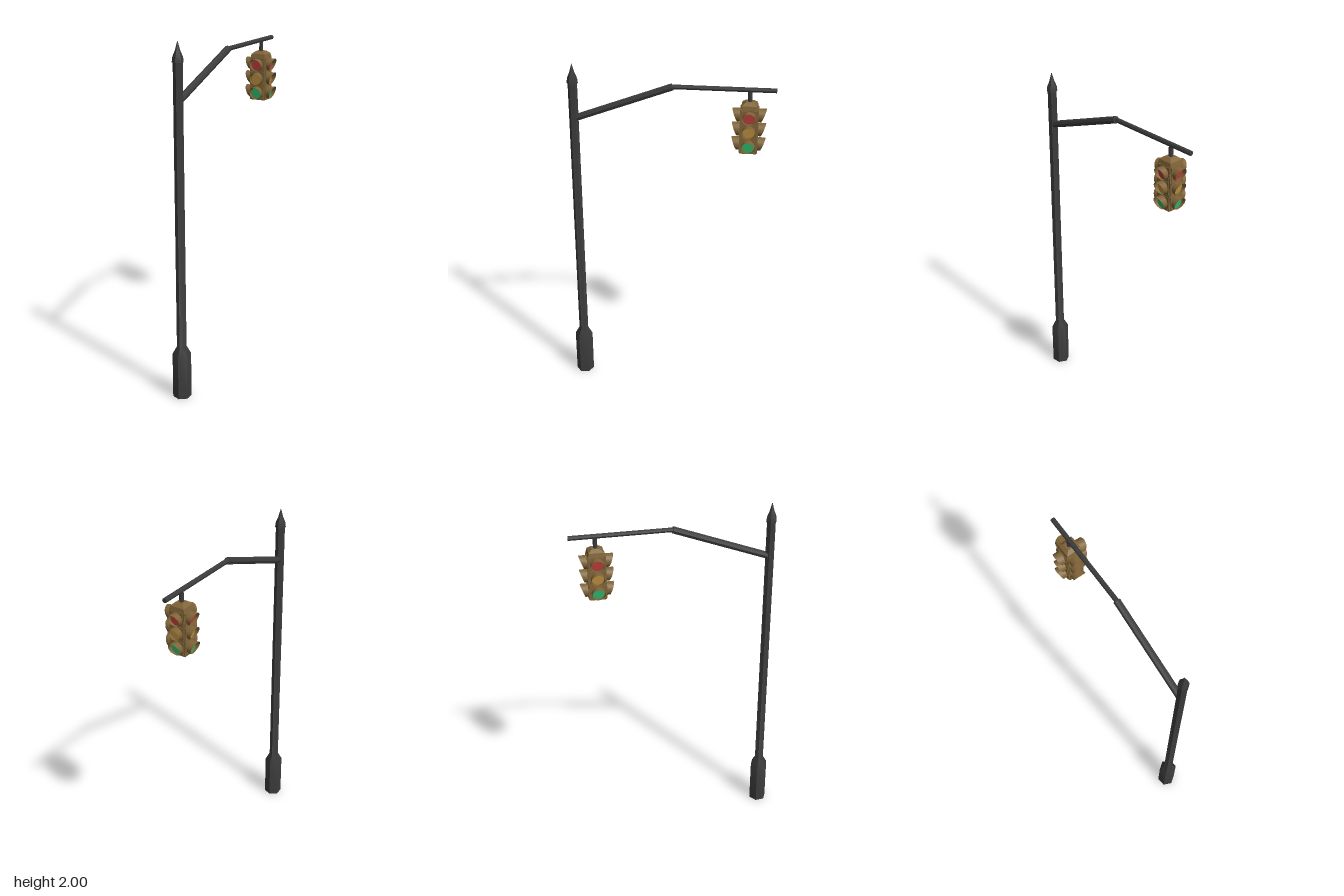
import * as THREE from 'three';
import { toCreasedNormals } from 'three/addons/utils/BufferGeometryUtils.js';

const mat = (name, color, side = THREE.FrontSide) => {
  const m = new THREE.MeshStandardMaterial({ color, side });
  m.name = name;
  return m;
};

export function createModel() {
  const iron = mat('dark iron', 0x3b3b3c);
  const ochre = mat('ochre housing', 0x806438, THREE.DoubleSide);
  const lampColours = [
    mat('red lens', 0xb23a3a), mat('amber lens', 0xb58a3c), mat('green lens', 0x2fae68),
  ];
  const root = new THREE.Group();
  root.name = 'trafficLight';

  const add = (parent, name, geo, material, x = 0, y = 0, z = 0) => {
    const m = new THREE.Mesh(toCreasedNormals(geo, 0.6), material);
    m.name = name;
    m.position.set(x, y, z);
    parent.add(m);
    return m;
  };
  const lathe = (points, sides, start) => new THREE.LatheGeometry(
    points.map(([r, y]) => new THREE.Vector2(r, y)), sides, start);

  // Six-sided post with heavy foot and pointed finial
  const postZ = 0.53, turn = 0.1;
  add(root, 'post', lathe([
    [0, 0], [0.052, 0], [0.052, 0.26], [0.027, 0.305], [0.026, 1.89], [0, 1.89],
  ], 6, turn), iron, 0, 0, postZ);
  add(root, 'finial', lathe([
    [0, 1.888], [0.031, 1.888], [0.028, 1.915], [0.014, 1.95], [0.01, 1.965], [0, 2],
  ], 6, turn), iron, 0, 0, postZ);

  // Bent arm: rising brace, then a thinner level bar
  const rod = (name, z1, y1, z2, y2, r) => {
    const a = new THREE.Vector3(0, y1, z1), b = new THREE.Vector3(0, y2, z2);
    const d = b.clone().sub(a);
    const m = add(root, name, new THREE.CylinderGeometry(r, r, d.length(), 8), iron);
    m.position.copy(a).add(b).multiplyScalar(0.5);
    m.quaternion.setFromUnitVectors(new THREE.Vector3(0, 1, 0), d.normalize());
  };
  rod('armBrace', 0.53, 1.683, -0.02, 1.888, 0.02);
  rod('armBar', 0, 1.888, -0.583, 1.888, 0.0135);

  // Four-way signal head
  const head = new THREE.Group();
  head.name = 'signalHead';
  head.position.set(0, 0, -0.44);
  root.add(head);
  add(head, 'hanger', new THREE.CylinderGeometry(0.012, 0.012, 0.075, 8), iron, 0, 1.848, 0);
  add(head, 'housing', new THREE.BoxGeometry(0.094, 0.25, 0.094), ochre, 0, 1.66, 0);
  const s = Math.SQRT2;
  add(head, 'cap', lathe([
    [0.047 * s, 1.783], [0.042 * s, 1.808], [0.022 * s, 1.824], [0, 1.824],
  ], 4, Math.PI / 4), ochre);

  // Visor: open tube, longer at the top than at the bottom
  const visorR = 0.037;
  const visor = new THREE.CylinderGeometry(visorR, visorR, 1, 20, 1, true).rotateX(Math.PI / 2);
  const p = visor.attributes.position;
  for (let i = 0; i < p.count; i++) {
    const t = (p.getY(i) / visorR + 1) / 2;
    p.setZ(i, p.getZ(i) > 0 ? 0.014 + 0.029 * t : -0.002);
  }
  const lens = new THREE.CylinderGeometry(0.033, 0.033, 0.006, 20).rotateX(Math.PI / 2);

  for (let k = 0; k < 4; k++) {
    const face = new THREE.Group();
    face.name = 'signalFace';
    face.rotation.y = k * Math.PI / 2;
    head.add(face);
    [1.745, 1.663, 1.578].forEach((y, i) => {
      add(face, 'doorPanel', new THREE.BoxGeometry(0.082, 0.078, 0.006), ochre, 0, y, 0.048);
      add(face, 'visor', visor, ochre, 0, y, 0.05);
      add(face, 'lens', lens, lampColours[i], 0, y, 0.052);
    });
  }
  return root;
}
